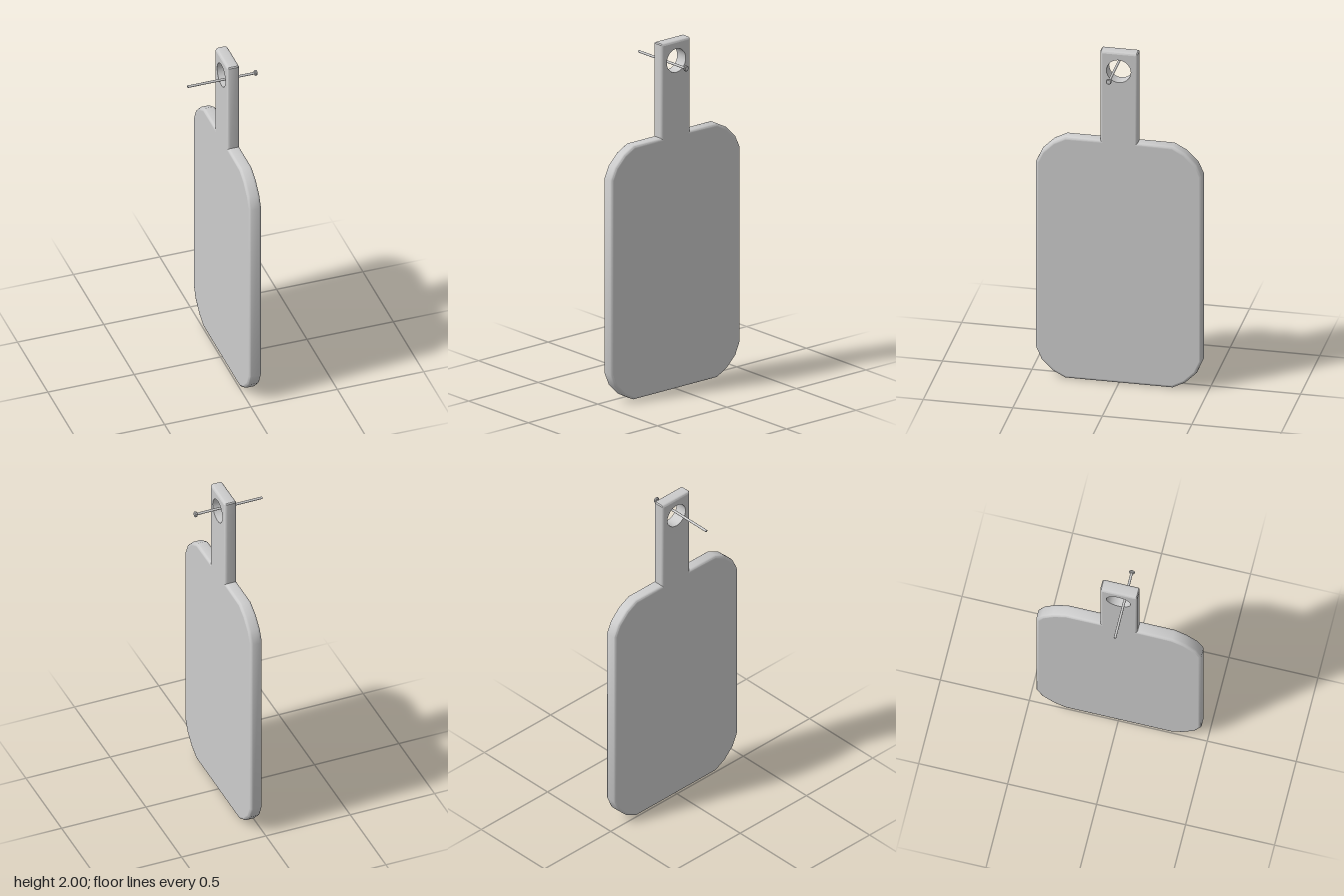
import * as THREE from 'three';
import { toCreasedNormals } from 'three/addons/utils/BufferGeometryUtils.js';

const HOLE_Y = 1.887, HOLE_R = 0.068, BEVEL = 0.016;
const X_MIN = 0.004, THICK = 0.071;

// Board outline with faceted corners and a handle, mirrored about its middle
function boardGeometry() {
  const half = [
    [0.3, 0], [0.37, 0.037], [0.433, 0.1], [0.464, 0.172],
    [0.464, 1.293], [0.433, 1.36], [0.37, 1.423], [0.3, 1.46],
    [0.105, 1.46], [0.105, 1.994], [0.099, 2],
  ];
  const mirrored = half.map(([s, y]) => [-s, y]).reverse();
  const shape = new THREE.Shape([...half, ...mirrored].map(([s, y]) => new THREE.Vector2(s, y)));
  const hole = new THREE.Path();
  hole.absarc(0, HOLE_Y, HOLE_R, 0, Math.PI * 2, true);
  shape.holes.push(hole);

  let geo = new THREE.ExtrudeGeometry(shape, {
    depth: THICK - 2 * BEVEL, curveSegments: 14,
    bevelSize: BEVEL, bevelThickness: BEVEL, bevelOffset: -BEVEL, bevelSegments: 4,
  });

  // Keep the hanging hole straight-walled: pull its rim back to one radius
  const p = geo.attributes.position;
  for (let i = 0; i < p.count; i++) {
    const dx = p.getX(i), dy = p.getY(i) - HOLE_Y, r = Math.hypot(dx, dy);
    if (r < HOLE_R + BEVEL + 0.004) {
      p.setXY(i, dx * HOLE_R / r, HOLE_Y + dy * HOLE_R / r);
    }
  }

  // Stand the board in the y-z plane with smooth edges and truly flat faces
  geo.rotateY(Math.PI / 2);
  geo.translate(X_MIN + BEVEL, 0, 0);
  geo.computeVertexNormals();
  const flat = geo.attributes.normal.clone();
  geo = toCreasedNormals(geo, 0.6);
  const n = geo.attributes.normal;
  for (let i = 0; i < n.count; i++) {
    if (Math.abs(flat.getX(i)) > 0.999) n.setXYZ(i, Math.sign(flat.getX(i)), 0, 0);
  }
  return geo;
}

export function createModel() {
  const model = new THREE.Group();
  model.name = 'cuttingBoardOnNail';
  const material = new THREE.MeshStandardMaterial({ color: 0xcccccc });

  const board = new THREE.Mesh(boardGeometry(), material);
  board.name = 'board';
  model.add(board);

  // Nail lying along x through the hanging hole
  const nail = new THREE.Group();
  nail.name = 'nail';
  const addRod = (name, radius, x0, x1) => {
    const rod = new THREE.Mesh(new THREE.CylinderGeometry(radius, radius, x1 - x0, 16), material);
    rod.name = name;
    rod.rotation.z = -Math.PI / 2;
    rod.position.x = (x0 + x1) / 2;
    nail.add(rod);
  };
  addRod('nailShaft', 0.007, -0.202, 0.188);

  // Head with softened rims
  const profile = [[0, 0], [0.012, 0], [0.016, 0.004], [0.016, 0.011], [0.012, 0.015], [0, 0.015]];
  const headGeo = new THREE.LatheGeometry(profile.map(([r, y]) => new THREE.Vector2(r, y)), 16);
  const head = new THREE.Mesh(toCreasedNormals(headGeo, 0.6), material);
  head.name = 'nailHead';
  head.rotation.z = -Math.PI / 2;
  head.position.x = 0.185;
  nail.add(head);

  nail.position.set(0, 1.877, 0.03);
  model.add(nail);
  return model;
}
